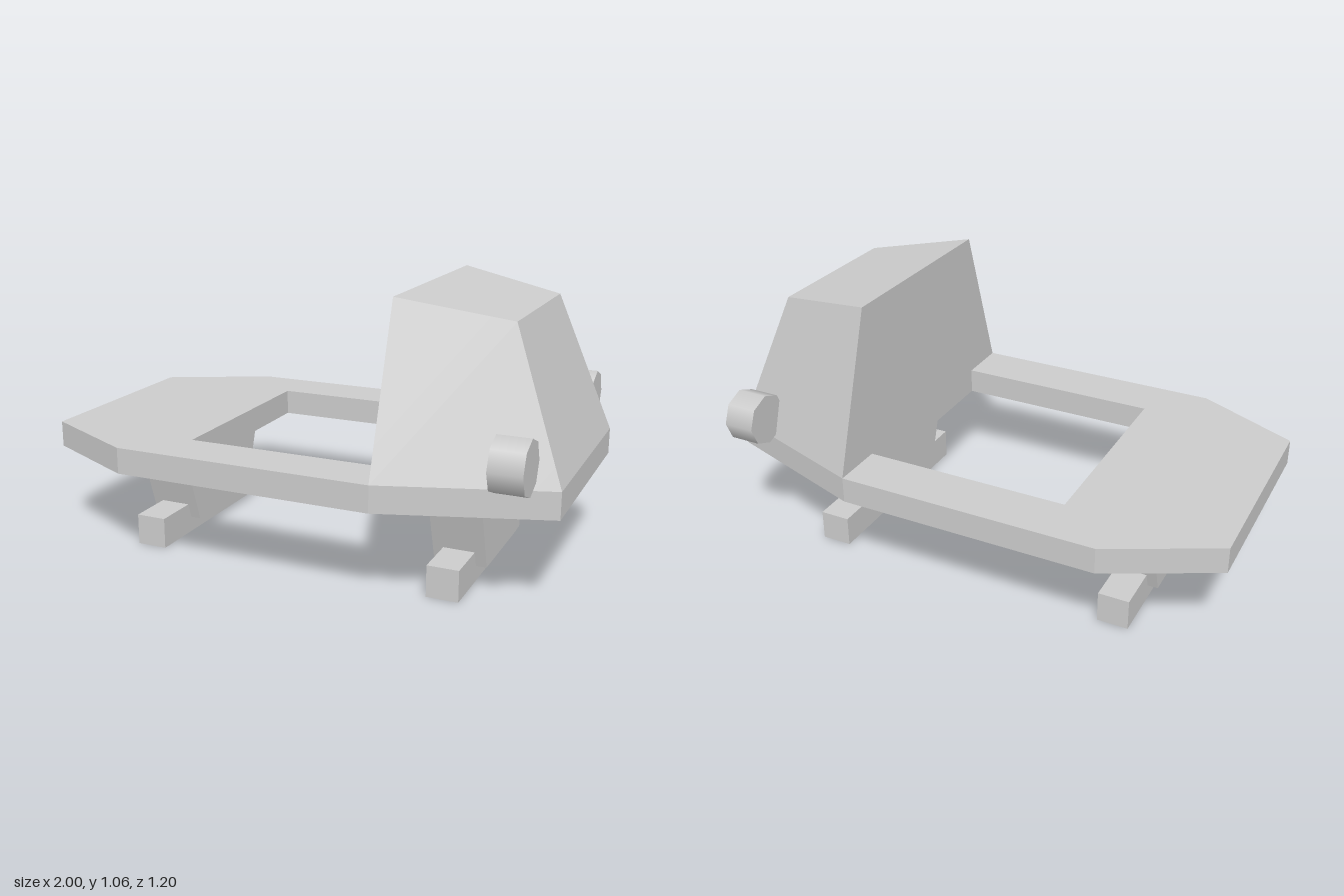
import * as THREE from 'three';

const material = new THREE.MeshStandardMaterial({ color: 0xcccccc });

function addMesh(parent, name, geometry) {
  const mesh = new THREE.Mesh(geometry, material);
  mesh.name = name;
  parent.add(mesh);
  return mesh;
}

// Box whose corners are placed by a rule: (right, up, front) signs -> position
function shapedBox(place) {
  const geometry = new THREE.BoxGeometry(2, 2, 2);
  const p = geometry.attributes.position;
  for (let i = 0; i < p.count; i++) {
    p.setXYZ(i, ...place(p.getX(i) > 0, p.getY(i) > 0, Math.sign(p.getZ(i))));
  }
  geometry.computeVertexNormals();
  return geometry;
}

export function createModel() {
  const model = new THREE.Group();
  model.name = 'sled';

  // Deck: tapered slab with a square opening
  const outline = [[-1, -0.4], [-0.6, -0.6], [0.4, -0.6], [1, -0.4],
    [1, 0.4], [0.4, 0.6], [-0.6, 0.6], [-1, 0.4]];
  const opening = [[-0.4, -0.4], [-0.4, 0.4], [0.4, 0.4], [0.4, -0.4]];
  const toPoints = (list) => list.map(([x, z]) => new THREE.Vector2(x, z));
  const deckShape = new THREE.Shape(toPoints(outline));
  deckShape.holes.push(new THREE.Path(toPoints(opening)));
  const deck = new THREE.ExtrudeGeometry(deckShape, { depth: 0.1, bevelEnabled: false });
  deck.rotateX(Math.PI / 2).translate(0, 0.46, 0);
  addMesh(model, 'deck', deck);

  // Cabin: upright back wall, sloping roof, sides and nose
  addMesh(model, 'cabin', shapedBox((nose, top, side) => {
    if (top) return nose ? [0.8, 0.99, side * 0.3] : [0.4, 1.06, side * 0.4];
    return nose ? [1, 0.46, side * 0.4] : [0.4, 0.46, side * 0.6];
  }));

  // Eight-sided headlamps beside the nose
  for (const side of [-1, 1]) {
    const lamp = addMesh(model, side > 0 ? 'frontLamp' : 'backLamp',
      new THREE.CylinderGeometry(0.1, 0.1, 0.12, 8));
    lamp.rotation.z = -Math.PI / 2;
    lamp.position.set(0.86, 0.56, side * 0.5);
  }

  // Two supports, each a tapered leg with a crosswise foot bar
  for (const x of [-0.6, 0.6]) {
    const support = new THREE.Group();
    support.name = x > 0 ? 'leftSupport' : 'rightSupport';
    support.position.x = x;
    addMesh(support, 'leg', shapedBox((right, top, side) =>
      [right ? 0.1 : -0.1, top ? 0.36 : 0.06, side * (top ? 0.3 : 0.2)]));
    addMesh(support, 'footBar', new THREE.BoxGeometry(0.12, 0.12, 0.8)).position.y = 0.06;
    model.add(support);
  }

  return model;
}
